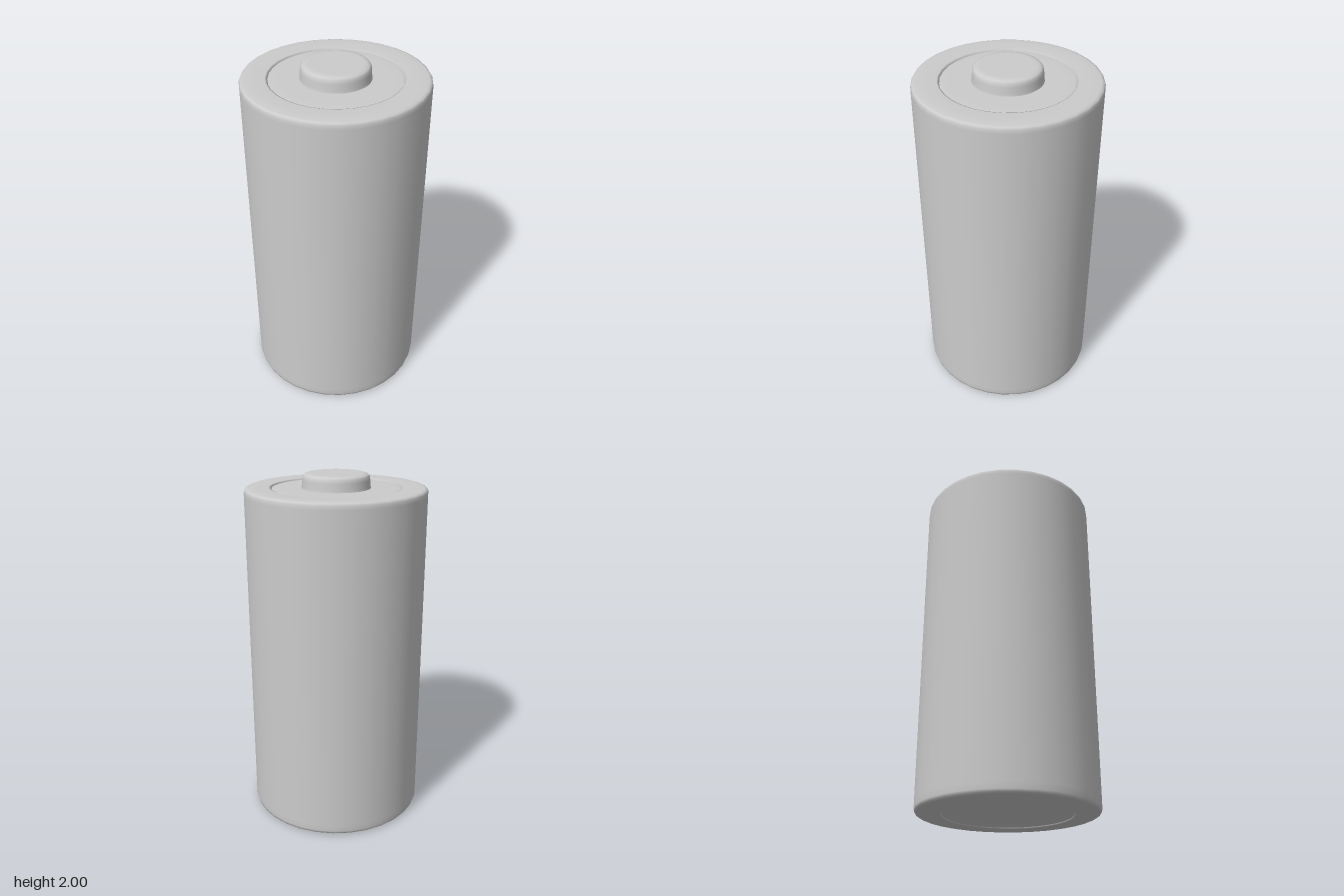
import * as THREE from 'three';

const SEGMENTS = 32;
const grey = new THREE.MeshStandardMaterial({ color: 0xcccccc });

// Turned part: profile runs from the underside outwards and up, as [radius, height]
function turned(name, profile) {
  const points = profile.map(([r, y]) => new THREE.Vector2(r, y));
  const mesh = new THREE.Mesh(new THREE.LatheGeometry(points, SEGMENTS), grey);
  mesh.name = name;
  return mesh;
}

export function createModel() {
  const group = new THREE.Group();
  group.name = 'battery';

  // Sleeve: wraps the side and folds over both ends
  group.add(turned('sleeve', [
    [0.355, 0.025], [0.357, 0.004], [0.365, 0], [0.45, 0], [0.49, 0.003], [0.502, 0.01],
    [0.506, 0.025], [0.506, 0.06], [0.506, 1.5], [0.506, 1.89], [0.505, 1.91],
    [0.499, 1.921], [0.485, 1.926], [0.44, 1.927], [0.37, 1.926], [0.36, 1.923], [0.355, 1.9],
  ]));

  // Negative contact: shallow dished plate in the bottom
  group.add(turned('bottomContact', [
    [0, 0.024], [0.29, 0.024], [0.31, 0.021], [0.335, 0.01], [0.348, 0.006], [0.358, 0.006],
  ]));

  // Plate around the positive terminal
  group.add(turned('topPlate', [
    [0.357, 1.917], [0.345, 1.919], [0.3, 1.92], [0.18, 1.92], [0, 1.92],
  ]));

  // Positive terminal button
  group.add(turned('terminal', [
    [0.192, 1.918], [0.189, 1.93], [0.187, 1.965], [0.184, 1.984],
    [0.176, 1.994], [0.16, 1.999], [0.14, 2], [0, 2],
  ]));

  return group;
}
